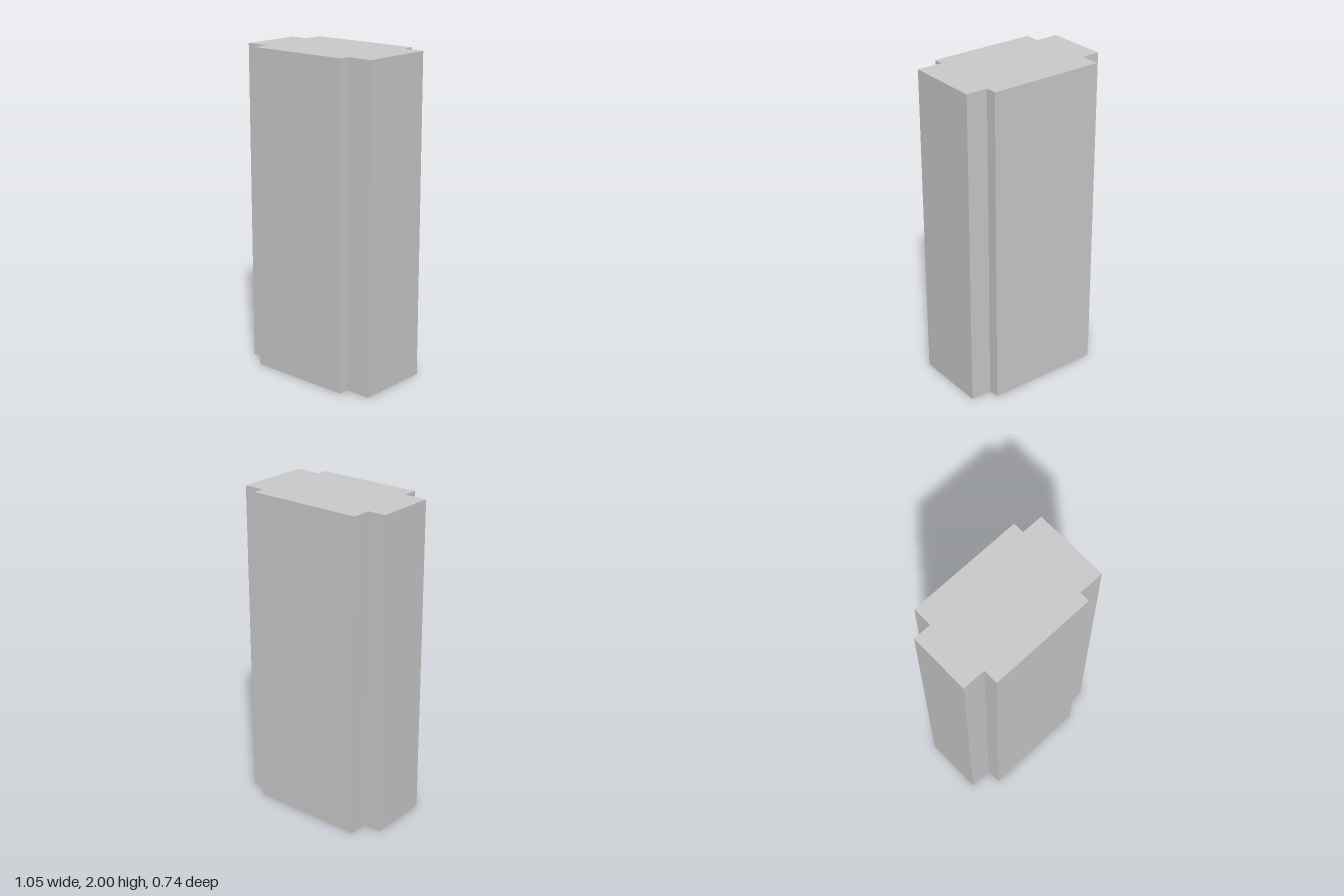
import * as THREE from 'three';

export function createModel() {
  const group = new THREE.Group();
  group.name = 'towerBlock';

  // Floor plan as [x, z]: a turned rectangle with a notch at each corner
  const plan = [
    [-0.303, -0.374], [0.408, -0.211], [0.393, -0.142], [0.525, -0.112],
    [0.42, 0.344], [0.263, 0.308], [0.248, 0.37], [-0.406, 0.219],
    [-0.386, 0.126], [-0.527, 0.094], [-0.442, -0.279], [-0.33, -0.254],
  ];
  const shape = new THREE.Shape(plan.map(([x, z]) => new THREE.Vector2(x, -z)));

  // Extrude the plan upwards to full height
  const geometry = new THREE.ExtrudeGeometry(shape, { depth: 2, bevelEnabled: false });
  geometry.rotateX(-Math.PI / 2);

  const tower = new THREE.Mesh(
    geometry,
    new THREE.MeshStandardMaterial({ color: 0xcccccc, flatShading: true }),
  );
  tower.name = 'towerBody';
  group.add(tower);
  return group;
}
